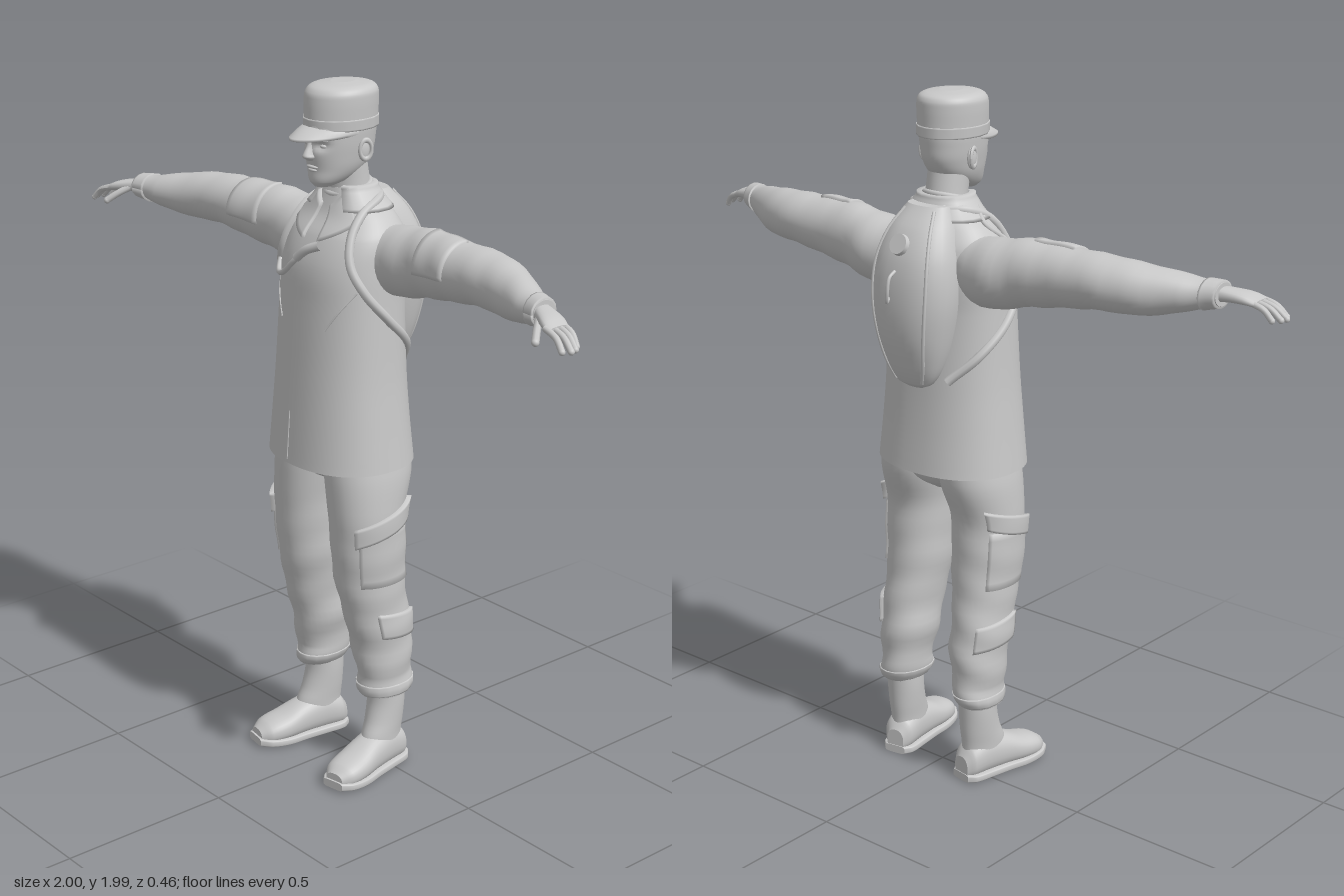
import * as THREE from 'three';

const grey = new THREE.MeshStandardMaterial({ color: 0xc8c8c8 });
grey.name = 'light grey';
const V = (x, y, z) => new THREE.Vector3(x, y, z);
const AX = { x: 0, y: 1, z: 2 };

function mesh(name, geometry) {
  const m = new THREE.Mesh(geometry, grey);
  m.name = name;
  return m;
}

// Skin a list of equally long point rows
function skin(rows, wrap) {
  const n = rows[0].length, pos = [], idx = [];
  rows.forEach(r => r.forEach(p => pos.push(p.x, p.y, p.z)));
  for (let i = 0; i < rows.length - 1; i++)
    for (let j = 0; j < (wrap ? n : n - 1); j++) {
      const a = i * n + j, b = i * n + (j + 1) % n;
      idx.push(a, a + n, b, b, a + n, b + n);
    }
  const g = new THREE.BufferGeometry();
  g.setAttribute('position', new THREE.Float32BufferAttribute(pos, 3));
  g.setIndex(idx);
  g.computeVertexNormals();
  return g;
}

// A body along an axis; sections are [along, centre1, centre2, radius1, radius2]
// with the other two axes in cyclic order (y: z,x  x: y,z  z: x,y)
function surface(axis, sections, power = 2, fold = () => 0) {
  const k = AX[axis], S = sections, L = S.length - 1;
  const slope = (i, c) => {
    const a = S[Math.max(i - 1, 0)], b = S[Math.min(i + 1, L)];
    return (b[c] - a[c]) / (b[0] - a[0]);
  };
  const at = s => {
    let i = 0;
    while (i < L - 1 && s > S[i + 1][0]) i++;
    const h = S[i + 1][0] - S[i][0], t = Math.min(Math.max((s - S[i][0]) / h, 0), 1);
    return [1, 2, 3, 4].map(c => S[i][c] * (1 + 2 * t) * (1 - t) ** 2 + S[i + 1][c] * t * t * (3 - 2 * t)
      + h * (slope(i, c) * t * (1 - t) ** 2 - slope(i + 1, c) * t * t * (1 - t)));
  };
  const round = v => Math.sign(v) * Math.abs(v) ** (2 / power);
  const point = (s, a, grow = 0) => {
    const [c1, c2, r1, r2] = at(s), g = grow + fold(s, a), p = V();
    p.setComponent(k, s);
    p.setComponent((k + 1) % 3, c1 + Math.max(r1 + g, 0.001) * round(Math.sin(a)));
    p.setComponent((k + 2) % 3, c2 + Math.max(r2 + g, 0.001) * round(Math.cos(a)));
    return p;
  };
  return { S, at, point, power };
}

function loft(name, sf, n = 32, sub = 4) {
  const rows = [], ring = s => Array.from({ length: n }, (_, j) => sf.point(s, j / n * Math.PI * 2));
  sf.S.forEach(([s], i) => {
    if (!i) return;
    const s0 = sf.S[i - 1][0];
    for (let q = i === 1 ? 0 : 1; q <= sub; q++) rows.push(ring(s0 + (s - s0) * q / sub));
  });
  const cap = r => {
    const c = V(0, 0, 0);
    r.forEach(p => c.addScaledVector(p, 1 / n));
    return r.map(() => c.clone());
  };
  const a = rows[0], b = rows[rows.length - 1];
  return mesh(name, skin([cap(a), a, ...rows, b, cap(b)], true));
}

// A raised panel lying on a surface
function panel(name, sf, s0, s1, a0, a1, height, slant = 0) {
  const rows = [], m = 8, n = 16;
  for (let i = -1; i <= m + 1; i++) {
    const row = [];
    for (let j = -1; j <= n + 1; j++) {
      const u = Math.min(Math.max(i / m, 0), 1), v = Math.min(Math.max(j / n, 0), 1);
      const edge = i < 0 || j < 0 || i > m || j > n;
      row.push(sf.point(s0 + (s1 - s0) * u - slant * (v - 0.5), a0 + (a1 - a0) * v, edge ? -0.006 : height));
    }
    rows.push(row);
  }
  return mesh(name, skin(rows, false));
}

const tube = (name, pts, r, seg = 40) =>
  mesh(name, new THREE.TubeGeometry(new THREE.CatmullRomCurve3(pts), seg, r, 8));

function ball(name, p, rx, ry, rz) {
  return mesh(name, new THREE.SphereGeometry(1, 16, 12).scale(rx, ry, rz).translate(p.x, p.y, p.z));
}

// Mirror copy to the right side, with face order corrected
function mirrored(m) {
  const g = m.geometry.clone().scale(-1, 1, 1), ix = g.index.array;
  for (let i = 0; i < ix.length; i += 3) [ix[i + 1], ix[i + 2]] = [ix[i + 2], ix[i + 1]];
  g.computeVertexNormals();
  return mesh(m.name.replace('left', 'right'), g);
}

export function createModel() {
  const model = new THREE.Group();
  model.name = 'uniformedFigure';
  const add = (...ms) => model.add(...ms);
  const both = (...ms) => ms.forEach(m => model.add(m, mirrored(m)));
  const H = Math.PI / 2;

  // Jacket
  const jacket = surface('y', [[0.94, 0.045, 0, 0.175, 0.217], [1.07, 0.046, 0, 0.164, 0.205],
    [1.2, 0.045, 0, 0.155, 0.195], [1.4, 0.04, 0, 0.145, 0.188], [1.5, 0.03, 0, 0.145, 0.186],
    [1.58, 0.018, 0, 0.125, 0.178], [1.63, 0.01, 0, 0.095, 0.145], [1.67, 0.012, 0, 0.075, 0.1],
    [1.705, 0.015, 0, 0.06, 0.07]], 2.3);
  add(loft('jacket', jacket, 48, 5));
  const front = (x, y, lift = 0.003) => {
    const [cz, , rz, rx] = jacket.at(y), p = jacket.power;
    return V(x, y, cz + rz * Math.max(1 - Math.abs(x / rx) ** p, 0) ** (1 / p) + lift);
  };
  add(tube('jacketSeam', [0.95, 1, 1.05, 1.09].map(y => front(-0.025, y, 0)), 0.002));
  both(tube('leftChestPocketSeam', [[0.16, 1.45], [0.125, 1.395], [0.09, 1.34]].map(q => front(...q, 0)), 0.003));
  add(panel('collar', jacket, 1.65, 1.712, H + 0.5, H + Math.PI * 2 - 0.5, 0.011));
  both(panel('leftLapel', jacket, 1.595, 1.685, H - 0.75, H - 0.12, 0.009, 0.05));

  // Sleeves and hands
  const sleeve = surface('x', [[0.1, 1.53, 0, 0.085, 0.08], [0.2, 1.522, -0.015, 0.097, 0.094],
    [0.3, 1.54, -0.008, 0.093, 0.083], [0.42, 1.548, 0.003, 0.082, 0.082], [0.55, 1.555, 0.01, 0.073, 0.08],
    [0.65, 1.55, 0.032, 0.068, 0.07], [0.75, 1.55, 0.075, 0.05, 0.055], [0.8, 1.553, 0.095, 0.037, 0.042],
    [0.84, 1.555, 0.108, 0.031, 0.037]], 2, (s, a) => 0.003 * Math.sin(s * 60 + 2 * Math.sin(a)) * (1 - s));
  const hand = surface('x', [[0.82, 1.556, 0.105, 0.022, 0.026], [0.86, 1.555, 0.122, 0.018, 0.032],
    [0.9, 1.55, 0.138, 0.015, 0.038], [0.93, 1.541, 0.148, 0.01, 0.035]], 2.4);
  both(loft('leftSleeve', sleeve), panel('leftSleevePocket', sleeve, 0.33, 0.45, -0.1, 1.7, 0.006),
    panel('leftCuff', sleeve, 0.8, 0.838, 0, Math.PI * 2, 0.006), loft('leftHand', hand, 20));
  const finger = (name, pts, r) => both(tube(name, pts, r, 10), ball(name + 'Tip', pts[pts.length - 1], r, r, r));
  for (let i = 0; i < 4; i++) {
    const z = 0.118 + i * 0.019, len = [0.06, 0.075, 0.08, 0.068][i];
    finger('leftFinger', [V(0.91, 1.546, z), V(0.92 + len * 0.5, 1.532, z + 0.006), V(0.912 + len, 1.506, z + 0.012)], 0.0085);
  }
  finger('leftThumb', [V(0.855, 1.552, 0.14), V(0.88, 1.532, 0.172), V(0.9, 1.512, 0.196)], 0.01);

  // Trousers
  const leg = surface('y', [[0.235, 0, 0.142, 0.073, 0.055], [0.26, 0, 0.14, 0.084, 0.064],
    [0.3, 0, 0.138, 0.085, 0.064], [0.4, 0.008, 0.13, 0.094, 0.077], [0.5, 0.028, 0.13, 0.1, 0.079],
    [0.6, 0.045, 0.122, 0.104, 0.088], [0.7, 0.052, 0.122, 0.107, 0.094], [0.8, 0.055, 0.12, 0.11, 0.098],
    [0.9, 0.04, 0.11, 0.13, 0.103], [0.98, 0.035, 0.1, 0.135, 0.1]], 2.1,
  (s, a) => 0.0035 * Math.sin(s * 55 + 2 * Math.sin(a + 1)) * Math.max(0.9 - s, 0) * 1.6);
  both(loft('leftTrouserLeg', leg), panel('leftThighPocket', leg, 0.6, 0.77, -0.8, 0.85, 0.006),
    panel('leftThighPocketFlap', leg, 0.755, 0.81, -0.85, 0.95, 0.013, 0.06),
    panel('leftCalfPocket', leg, 0.425, 0.5, -1, 0.5, 0.009, -0.02),
    panel('leftTrouserCuff', leg, 0.24, 0.272, 0, Math.PI * 2, 0.003));
  add(loft('trouserSeat', surface('y', [[0.865, 0.03, 0, 0.05, 0.03], [0.9, 0.035, 0, 0.11, 0.1], [0.96, 0.035, 0, 0.14, 0.18]])));

  // Boots, toes turned outward
  const foot = [[-0.068, 0, 0.04, 0.028, 0.034], [-0.045, 0, 0.055, 0.045, 0.05], [0.01, 0, 0.065, 0.049, 0.06],
    [0.08, 0, 0.058, 0.052, 0.053], [0.14, 0, 0.046, 0.057, 0.041], [0.195, 0, 0.038, 0.051, 0.033],
    [0.225, 0, 0.03, 0.03, 0.022]];
  const soleLine = foot.map(([z, x, , rx]) => [z * 1.03, x, 0.012 + Math.max(z - 0.15, 0) * 0.1, rx + 0.005, 0.012]);
  const boot = [loft('leftBootFoot', surface('z', foot, 2.3)), loft('leftBootSole', surface('z', soleLine, 5)),
    loft('leftBootShaft', surface('y', [[0.05, 0.015, 0, 0.07, 0.045], [0.1, 0.016, 0, 0.072, 0.046],
      [0.15, 0.003, 0, 0.064, 0.049], [0.21, -0.006, 0, 0.058, 0.052], [0.27, -0.006, 0, 0.06, 0.052]]))];
  boot.forEach(m => m.geometry.rotateY(0.17).translate(0.14, 0, 0));
  both(...boot);

  // Head and neck, with sunken eye sockets
  const head = surface('y', [[1.712, 0.105, 0, 0.025, 0.022], [1.728, 0.085, 0, 0.057, 0.044],
    [1.76, 0.06, 0, 0.083, 0.063], [1.8, 0.05, 0, 0.1, 0.073], [1.84, 0.048, 0, 0.105, 0.079],
    [1.88, 0.046, 0, 0.105, 0.081], [1.94, 0.045, 0, 0.09, 0.07]], 2.15,
  (s, a) => -0.012 * Math.exp(-(((s - 1.828) / 0.012) ** 2)) * Math.exp(-(((Math.abs(a - H) - 0.42) / 0.25) ** 2)));
  add(loft('head', head, 48, 6));
  add(loft('neck', surface('y', [[1.62, 0.012, 0, 0.066, 0.066], [1.7, 0.016, 0, 0.06, 0.058], [1.78, 0.03, 0, 0.06, 0.058]])));
  add(loft('nose', surface('y', [[1.786, 0.15, 0, 0.006, 0.008], [1.796, 0.151, 0, 0.021, 0.016],
    [1.804, 0.152, 0, 0.02, 0.013], [1.825, 0.148, 0, 0.012, 0.008], [1.846, 0.147, 0, 0.006, 0.008]]), 16));
  add(ball('upperLip', V(0, 1.768, 0.142), 0.022, 0.005, 0.008), ball('lowerLip', V(0, 1.759, 0.14), 0.018, 0.005, 0.008));
  both(ball('leftEye', V(0.031, 1.826, 0.126), 0.013, 0.007, 0.012), ball('leftBrow', V(0.033, 1.843, 0.136), 0.022, 0.005, 0.01));
  both(ball('leftEar', V(0.078, 1.81, 0.03), 0.009, 0.03, 0.018),
    mesh('leftEarRim', new THREE.TorusGeometry(0.017, 0.005, 8, 20).scale(1, 1.5, 1).rotateY(H - 0.3).translate(0.085, 1.812, 0.028)));
  add(mesh('undershirtNeck', new THREE.TorusGeometry(0.061, 0.008, 8, 32).rotateX(H + 0.25).translate(0, 1.7, 0.018)));

  // Field cap with a drooping peak
  const cap = surface('y', [[1.866, 0.043, 0, 0.107, 0.087], [1.9, 0.043, 0, 0.107, 0.089], [1.95, 0.041, 0, 0.105, 0.091],
    [1.968, 0.039, 0, 0.099, 0.087], [1.98, 0.037, 0, 0.08, 0.07], [1.986, 0.036, 0, 0.035, 0.03]]);
  add(loft('cap', cap, 48), panel('capBand', cap, 1.866, 1.896, 0, Math.PI * 2, 0.003));
  const peak = [];
  for (let i = 0; i <= 32; i++) {
    const a = 0.12 + (Math.PI - 0.24) * i / 32, c = Math.cos(a), s = Math.sin(a);
    const q = (v, dy) => V(c * (0.086 + 0.003 * v), 1.88 - 0.028 * v * s - 0.012 * c * c + dy, 0.043 + s * (0.098 + 0.068 * v * s));
    peak.push([q(0, 0), q(0, -0.007), q(0.5, -0.007), q(1, -0.007), q(1, 0), q(0.5, 0.003)].reverse());
  }
  add(mesh('capPeak', skin(peak, true)));

  // Backpack
  const pack = surface('y', [[1.19, -0.115, 0, 0.012, 0.03], [1.205, -0.115, 0, 0.03, 0.06], [1.26, -0.11, 0, 0.062, 0.09],
    [1.35, -0.11, 0, 0.088, 0.115], [1.45, -0.11, 0, 0.094, 0.13], [1.55, -0.1, 0, 0.09, 0.125],
    [1.63, -0.078, 0, 0.074, 0.1], [1.69, -0.055, 0, 0.04, 0.065]], 2.3);
  add(loft('backpack', pack));
  const along = [1.21, 1.26, 1.32, 1.4, 1.48, 1.55, 1.62, 1.68];
  both(tube('leftBackpackPiping', along.map(y => pack.point(y, -H + 0.75)), 0.005));
  add(mesh('backpackDisc', new THREE.CylinderGeometry(0.028, 0.03, 0.012, 24).rotateX(-H + 0.45).translate(0, 1.6, -0.178)));
  add(tube('backpackHook', [V(0, 1.53, -0.195), V(0, 1.515, -0.218), V(0.003, 1.47, -0.224), V(0.012, 1.445, -0.215), V(0.018, 1.455, -0.2)], 0.005));

  // Shoulder straps, laid on the jacket
  const strap = [[1.68, -1.1], [1.675, -0.2], [1.645, 0.6], [1.59, 0.85], [1.52, 0.75], [1.45, 0.45],
    [1.37, 0], [1.29, -0.55], [1.215, -1.1]];
  both(tube('leftShoulderStrap', strap.map(([y, a]) => jacket.point(y, a, 0.002)), 0.013, 64));

  // Drinking hose across the chest
  const hose = [[-0.09, 1.68], [-0.135, 1.64], [-0.165, 1.58], [-0.168, 1.52], [-0.13, 1.46], [-0.09, 1.465], [-0.04, 1.505], [-0.01, 1.535]];
  add(tube('drinkingHose', hose.map(q => front(...q, 0.007)), 0.008, 64));
  add(tube('hoseMouthpiece', [front(-0.025, 1.52, 0.01), front(0.01, 1.548, 0.014), front(0.05, 1.565, 0.012)], 0.013, 12));
  return model;
}
